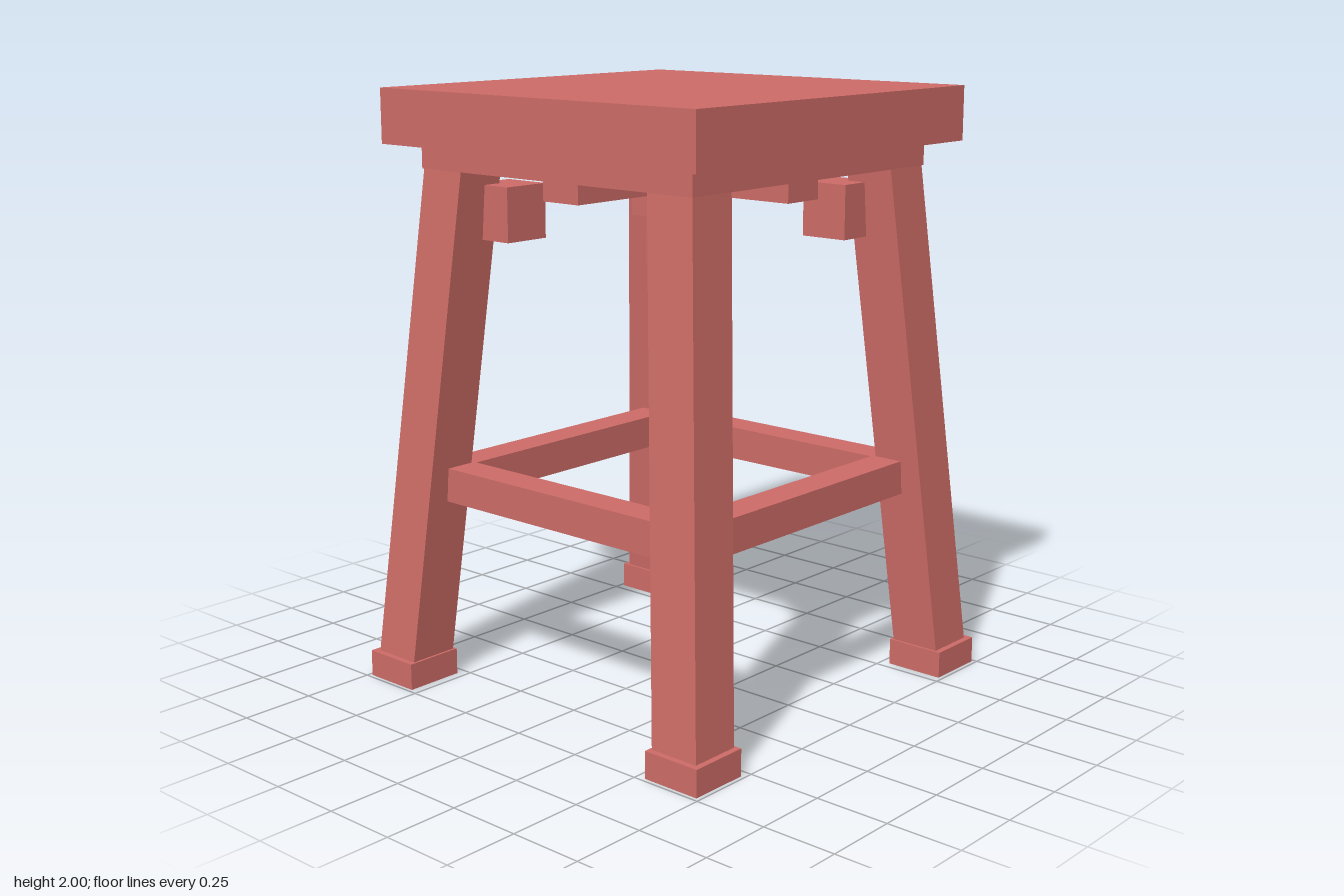
import * as THREE from 'three';

export function createModel() {
  const group = new THREE.Group();
  group.name = 'stool';
  const paint = new THREE.MeshStandardMaterial({ color: 0xcc6b66 });
  paint.name = 'red paint';

  function box(name, w, h, d, x, y, z) {
    const mesh = new THREE.Mesh(new THREE.BoxGeometry(w, h, d), paint);
    mesh.name = name;
    mesh.position.set(x, y, z);
    group.add(mesh);
    return mesh;
  }

  // Seat and the smaller slab under it
  box('seat', 1.34, 0.18, 1.34, 0, 1.91, 0);
  box('seatBase', 1.16, 0.08, 1.16, 0, 1.78, 0);

  // Crossed battens under the seat
  box('battenAcross', 1.06, 0.07, 0.15, 0, 1.705, 0);
  box('battenFrontToBack', 0.15, 0.07, 1.06, 0, 1.705, 0);

  // Splayed legs, each with a foot and an inner corner block
  const bottomY = 0.09, topY = 1.74, bottomC = 0.628, topC = 0.488;
  for (const sx of [-1, 1]) {
    for (const sz of [-1, 1]) {
      const leg = box('leg', 0.175, topY - bottomY, 0.175, 0, (topY + bottomY) / 2, 0);
      const pos = leg.geometry.attributes.position;
      for (let i = 0; i < pos.count; i++) {
        const c = pos.getY(i) > 0 ? topC : bottomC;
        pos.setX(i, pos.getX(i) + sx * c);
        pos.setZ(i, pos.getZ(i) + sz * c);
      }
      leg.geometry.computeVertexNormals();

      box('foot', 0.205, 0.09, 0.205, sx * 0.634, 0.045, sz * 0.634);
      box('cornerBlock', 0.17, 0.18, 0.17, sx * 0.385, 1.6, sz * 0.385);
    }
  }

  // Square ring of stretchers
  for (const s of [-1, 1]) {
    box('stretcherAcross', 1.06, 0.115, 0.115, 0, 0.693, s * 0.53);
    box('stretcherFrontToBack', 0.115, 0.115, 1.06, s * 0.53, 0.693, 0);
  }

  return group;
}
